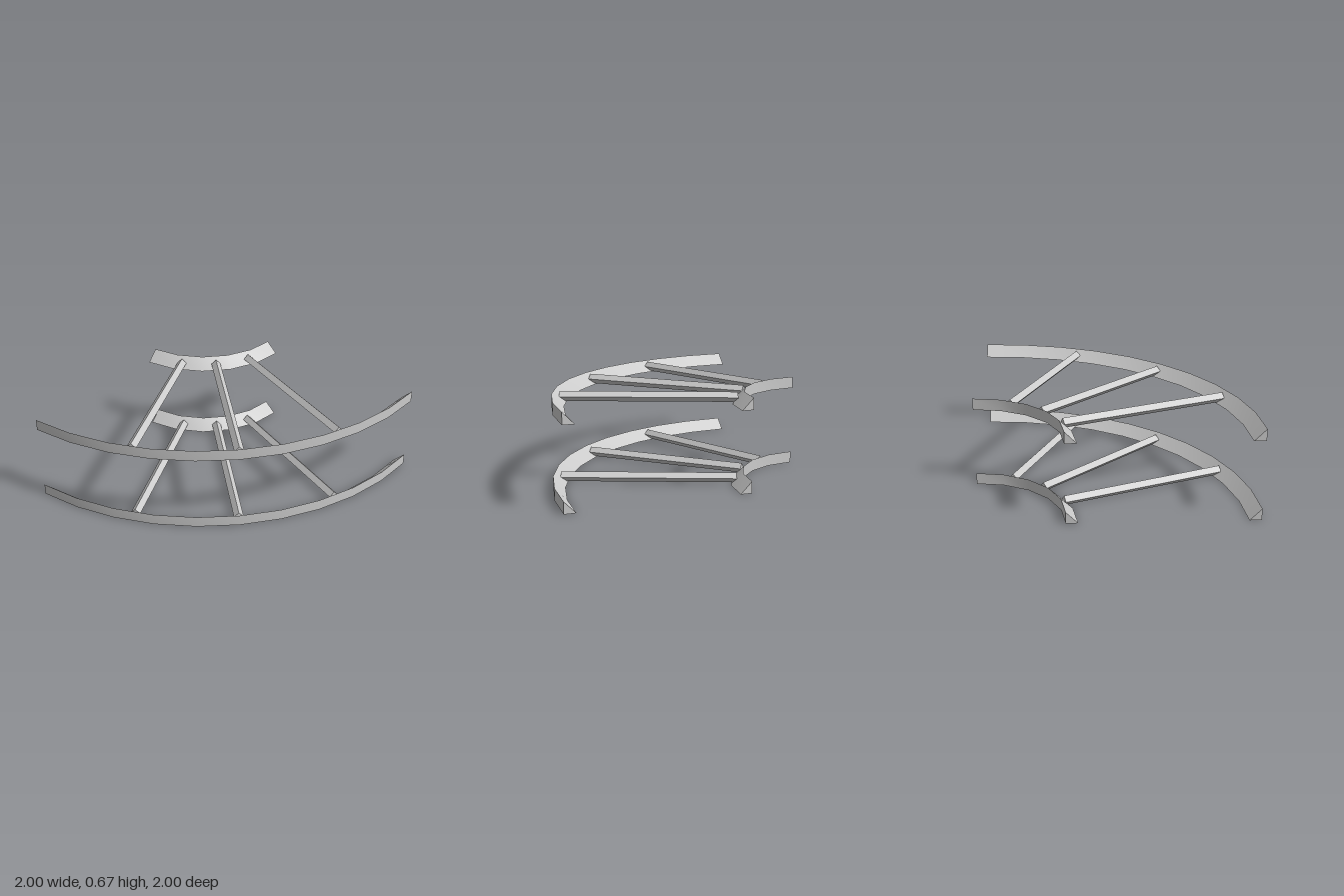
import * as THREE from 'three';
import { mergeGeometries, toCreasedNormals } from 'three/addons/utils/BufferGeometryUtils.js';

const SIZE = 0.085; // rail width and height
const INNER = 0.66, OUTER = 2; // radii of the upright rail faces
const material = new THREE.MeshStandardMaterial({ color: 0xcccccc });

// Quarter-circle rail swept from a closed profile, with both ends capped
function railGeometry(profile, segments) {
  const points = profile.map(([r, y]) => new THREE.Vector2(r, y));
  const sweep = new THREE.LatheGeometry([...points, points[0].clone()], segments, 0, Math.PI / 2);
  const startCap = new THREE.ShapeGeometry(new THREE.Shape(points)).rotateY(-Math.PI / 2);
  const endCap = new THREE.ShapeGeometry(new THREE.Shape(points));
  endCap.index.array.reverse();
  return toCreasedNormals(mergeGeometries([sweep, startCap, endCap]), Math.PI / 6);
}

export function createModel() {
  const model = new THREE.Group();
  model.name = 'curvedLadderFrame';

  // Triangular rails: upright backs, slopes facing each other
  const outerRail = railGeometry([[OUTER - SIZE, 0], [OUTER, 0], [OUTER, SIZE]], 10);
  const innerRail = railGeometry([[INNER, 0], [INNER + SIZE, 0], [INNER, SIZE]], 5);

  // Square rung standing on its edge, ending at the middle of each rail
  const start = INNER + SIZE / 2, end = OUTER - SIZE / 2;
  const rung = toCreasedNormals(
    new THREE.CylinderGeometry(0.036, 0.036, end - start, 4).rotateZ(-Math.PI / 2), 0.5);
  rung.translate((start + end) / 2, SIZE / 2, 0);

  [['lower', 0], ['upper', 0.585]].forEach(([level, y]) => {
    const tier = new THREE.Group();
    tier.name = level + 'Tier';
    tier.position.set(-1, y, -1);
    const add = (name, geometry, turn = 0) => {
      const mesh = new THREE.Mesh(geometry, material);
      mesh.name = name;
      mesh.rotation.y = turn;
      tier.add(mesh);
    };
    add('outerRail', outerRail);
    add('innerRail', innerRail);
    for (let i = 1; i <= 3; i++) add('rung' + i, rung, -i * Math.PI / 8);
    model.add(tier);
  });

  return model;
}
